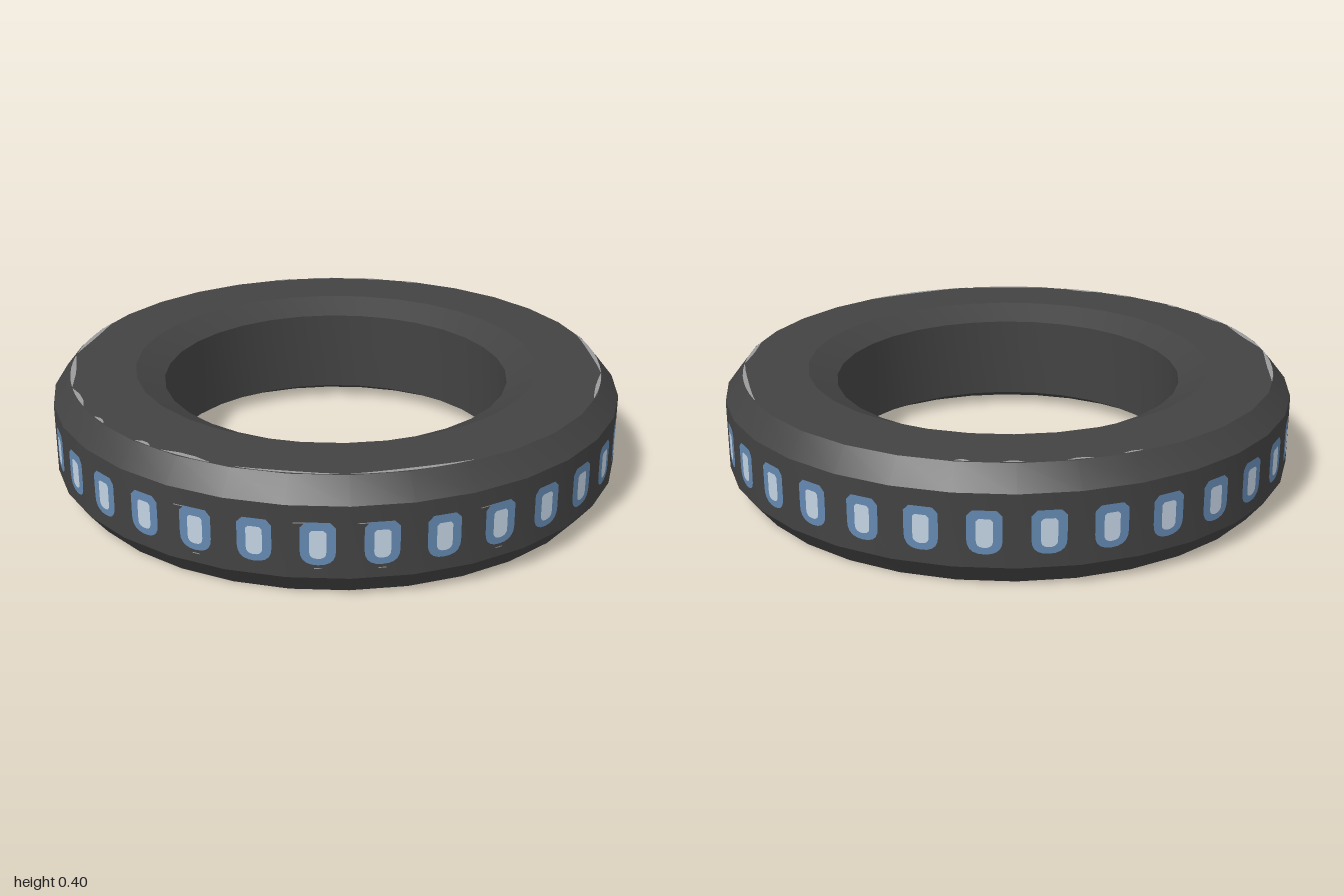
import * as THREE from 'three';
import { toCreasedNormals } from 'three/addons/utils/BufferGeometryUtils.js';

const SIDES = 32;
const STEP = (Math.PI * 2) / SIDES;
const APOTHEM = Math.cos(STEP / 2);
const TOP = 0.395;

const mat = (name, color) => {
  const m = new THREE.MeshStandardMaterial({ color });
  m.name = name;
  return m;
};

// Flat plate: straight top corners slightly cut, rounded bottom
function windowShape(w, top, bottom, cut) {
  const h = w / 2;
  const s = new THREE.Shape();
  s.moveTo(-h + cut, top);
  s.lineTo(-h, top - cut);
  s.lineTo(-h, bottom + h * 0.9);
  s.quadraticCurveTo(-h, bottom, 0, bottom);
  s.quadraticCurveTo(h, bottom, h, bottom + h * 0.9);
  s.lineTo(h, top - cut);
  s.lineTo(h - cut, top);
  return new THREE.ShapeGeometry(s, 5);
}

// Thin crescent lying on the top face, between two angles in degrees
function crescent(from, to, width) {
  const n = Math.max(3, Math.ceil((to - from) / 4));
  const pos = [], index = [];
  for (let i = 0; i <= n; i++) {
    const a = THREE.MathUtils.degToRad(from + ((to - from) * i) / n);
    const w = width * Math.sin((Math.PI * i) / n);
    for (const r of [0.936, 0.934 - w]) pos.push(r * Math.sin(a), TOP + 0.002, r * Math.cos(a));
    if (i < n) index.push(2 * i, 2 * i + 2, 2 * i + 1, 2 * i + 1, 2 * i + 2, 2 * i + 3);
  }
  const g = new THREE.BufferGeometry();
  g.setAttribute('position', new THREE.Float32BufferAttribute(pos, 3));
  g.setIndex(index);
  g.computeVertexNormals();
  return g;
}

export function createModel() {
  const model = new THREE.Group();
  model.name = 'ringStation';

  const hull = mat('hull charcoal', 0x424242);
  const frame = mat('window blue', 0x6488b0);
  const glass = mat('window light', 0xc2d2e2);
  const worn = mat('worn metal', 0x9a9a9a);
  worn.side = THREE.DoubleSide;

  const add = (parent, name, geo, material) => {
    const m = new THREE.Mesh(geo, material);
    m.name = name;
    parent.add(m);
    return m;
  };

  // Ring body: outer wall, chamfers, dished inner lips and bore
  const profile = [
    [0.94, 0], [1, 0.075], [1, 0.32], [0.94, TOP],
    [0.71, TOP], [0.61, 0.347], [0.61, 0.048], [0.71, 0], [0.94, 0],
  ].map(([r, y]) => new THREE.Vector2(r, y));
  add(model, 'ringBody', toCreasedNormals(new THREE.LatheGeometry(profile, SIDES), 0.35), hull);

  // One window on every outer facet
  const frameGeo = windowShape(0.11, 0.265, 0.12, 0.018);
  const glassGeo = windowShape(0.052, 0.238, 0.143, 0.008);
  for (let i = 0; i < SIDES; i++) {
    const win = new THREE.Group();
    win.name = 'window';
    win.rotation.y = (i + 0.5) * STEP;
    add(win, 'windowFrame', frameGeo, frame).position.z = APOTHEM + 0.002;
    add(win, 'windowGlass', glassGeo, glass).position.z = APOTHEM + 0.004;
    model.add(win);
  }

  // Worn edges on the top rim
  const wear = [
    [-128, -108, 0.016], [-106, -88, 0.018], [-87, -77, 0.016], [-71, -67, 0.012],
    [-56, -52, 0.014], [-49, -38, 0.018], [-33, -13, 0.01], [-11, 13, 0.014],
    [54, 68, 0.012], [69, 92, 0.014], [146, 149, 0.012], [155, 159, 0.012],
    [167, 172, 0.01], [178, 182, 0.008],
  ];
  for (const w of wear) add(model, 'wornEdge', crescent(...w), worn);

  // Fine scratches above and below some windows
  const scratchGeo = new THREE.PlaneGeometry(0.09, 0.003);
  const shortGeo = new THREE.PlaneGeometry(0.025, 0.003);
  for (const facet of [-4, -2, -1, 1]) {
    const s = new THREE.Group();
    s.name = 'scratches';
    s.rotation.y = (facet + 0.5) * STEP;
    add(s, 'upperScratch', scratchGeo, worn).position.set(-0.03, 0.262, APOTHEM + 0.001);
    add(s, 'lowerScratch', shortGeo, worn).position.set(0, 0.108, APOTHEM + 0.001);
    model.add(s);
  }

  return model;
}
